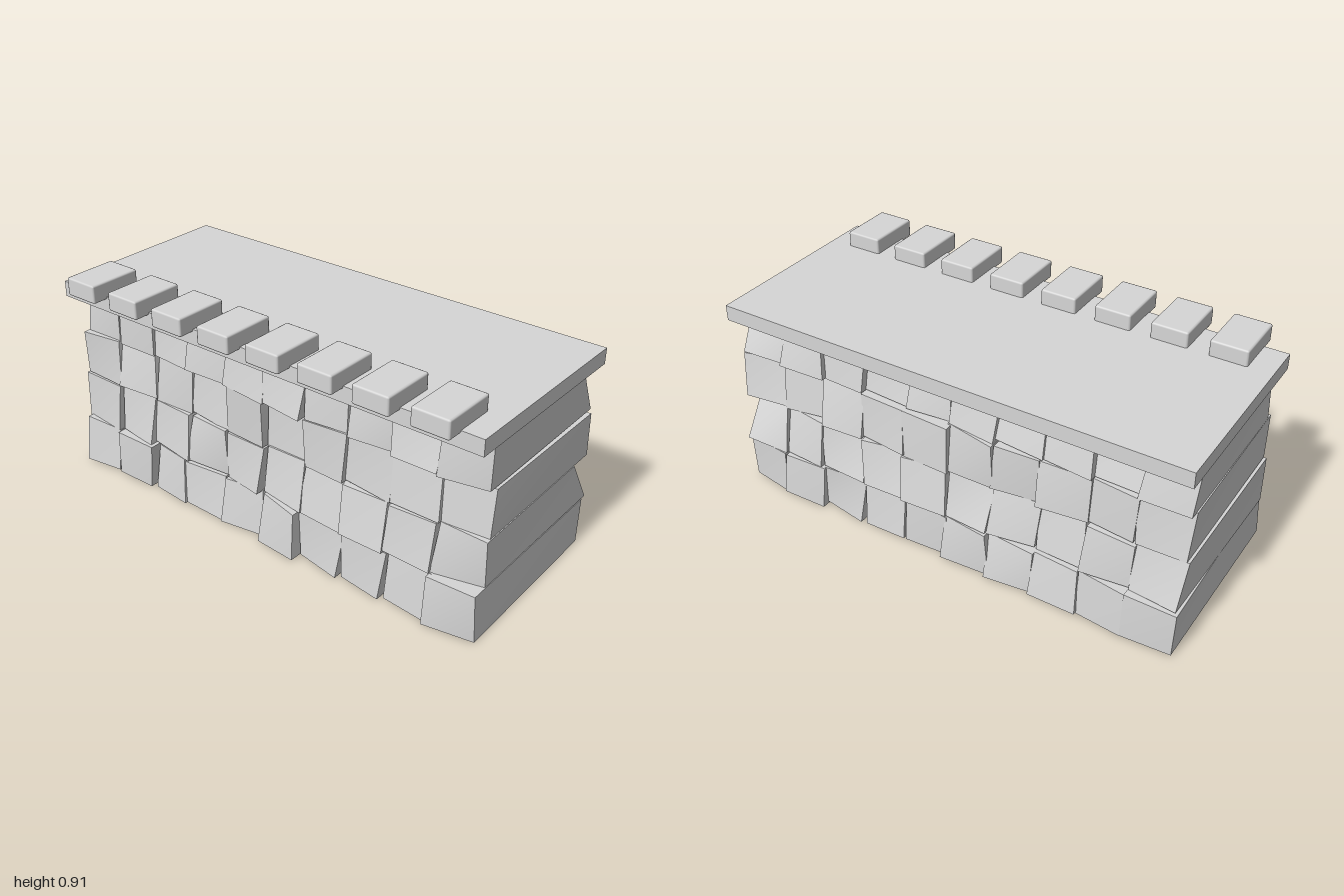
import * as THREE from 'three';
import { RoundedBoxGeometry } from 'three/addons/geometries/RoundedBoxGeometry.js';

const COLUMNS = 10;
// Each course: [bottom, top] of its height, front z, back z, and the z of its right end face
const COURSES = [
  { y: [0.01, 0.207], front: [0.372, 0.348], back: [-0.425, -0.413], endFront: [0.352, 0.368], endBack: [-0.405, -0.41] },
  { y: [0.211, 0.409], front: [0.348, 0.325], back: [-0.408, -0.374], endFront: [0.3, 0.312], endBack: [-0.43, -0.302] },
  { y: [0.412, 0.608], front: [0.322, 0.308], back: [-0.382, -0.362], endFront: [0.292, 0.272], endBack: [-0.402, -0.378] },
  { y: [0.611, 0.81], front: [0.322, 0.302], back: [-0.365, -0.325], endFront: [0.308, 0.312], endBack: [-0.386, -0.285] },
];

function seededRandom(seed) {
  return () => {
    seed = (seed * 16807) % 2147483647;
    return seed / 2147483647;
  };
}

export function createModel() {
  const model = new THREE.Group();
  model.name = 'stoneWall';
  const stone = new THREE.MeshStandardMaterial({ color: 0xd6d6d6 });
  stone.name = 'grey stone';

  const random = seededRandom(4711);
  const jitter = (amount) => (random() * 2 - 1) * amount;

  // One through-stone: a box whose eight corners are nudged
  function roughStone(col, { y, front, back, endFront, endBack }) {
    const corners = {};
    const shift = { 0: jitter(0.014), 1: jitter(0.014) };
    for (const sx of [0, 1]) for (const sy of [0, 1]) for (const sz of [0, 1]) {
      const rightEnd = col + sx === COLUMNS;
      const outer = rightEnd || col + sx === 0;
      const x = -0.988 + (col + sx) * 0.1973 + jitter(outer ? 0.007 : 0.012);
      const z = rightEnd
        ? (sz ? endFront : endBack)[sy]
        : (sz ? front : back)[sy] + shift[sz] + jitter(0.02);
      corners[`${sx}${sy}${sz}`] = [x, y[sy] + jitter(0.007), z];
    }
    const geometry = new THREE.BoxGeometry(1, 1, 1);
    const p = geometry.attributes.position;
    for (let i = 0; i < p.count; i++) {
      const key = [p.getX(i), p.getY(i), p.getZ(i)].map((v) => (v > 0 ? 1 : 0)).join('');
      p.setXYZ(i, ...corners[key]);
    }
    geometry.computeVertexNormals();
    return geometry;
  }

  // Four courses of rough stones
  COURSES.forEach((profile, row) => {
    const course = new THREE.Group();
    course.name = `stoneCourse${row + 1}`;
    for (let col = 0; col < COLUMNS; col++) {
      const block = new THREE.Mesh(roughStone(col, profile), stone);
      block.name = `roughStone${col + 1}`;
      course.add(block);
    }
    model.add(course);
  });

  // Flat capping slab
  const slab = new THREE.Mesh(new THREE.BoxGeometry(1.99, 0.065, 0.828), stone);
  slab.name = 'cappingSlab';
  slab.position.set(-0.005, 0.819, -0.022);
  model.add(slab);

  // Row of small bevelled blocks along the front edge
  const blockGeometry = new RoundedBoxGeometry(0.152, 0.076, 0.232, 1, 0.008);
  for (let i = 0; i < 8; i++) {
    const block = new THREE.Mesh(blockGeometry, stone);
    block.name = `edgeBlock${i + 1}`;
    block.position.set(-0.825 + i * 0.2355, 0.878, 0.342);
    model.add(block);
  }
  return model;
}
